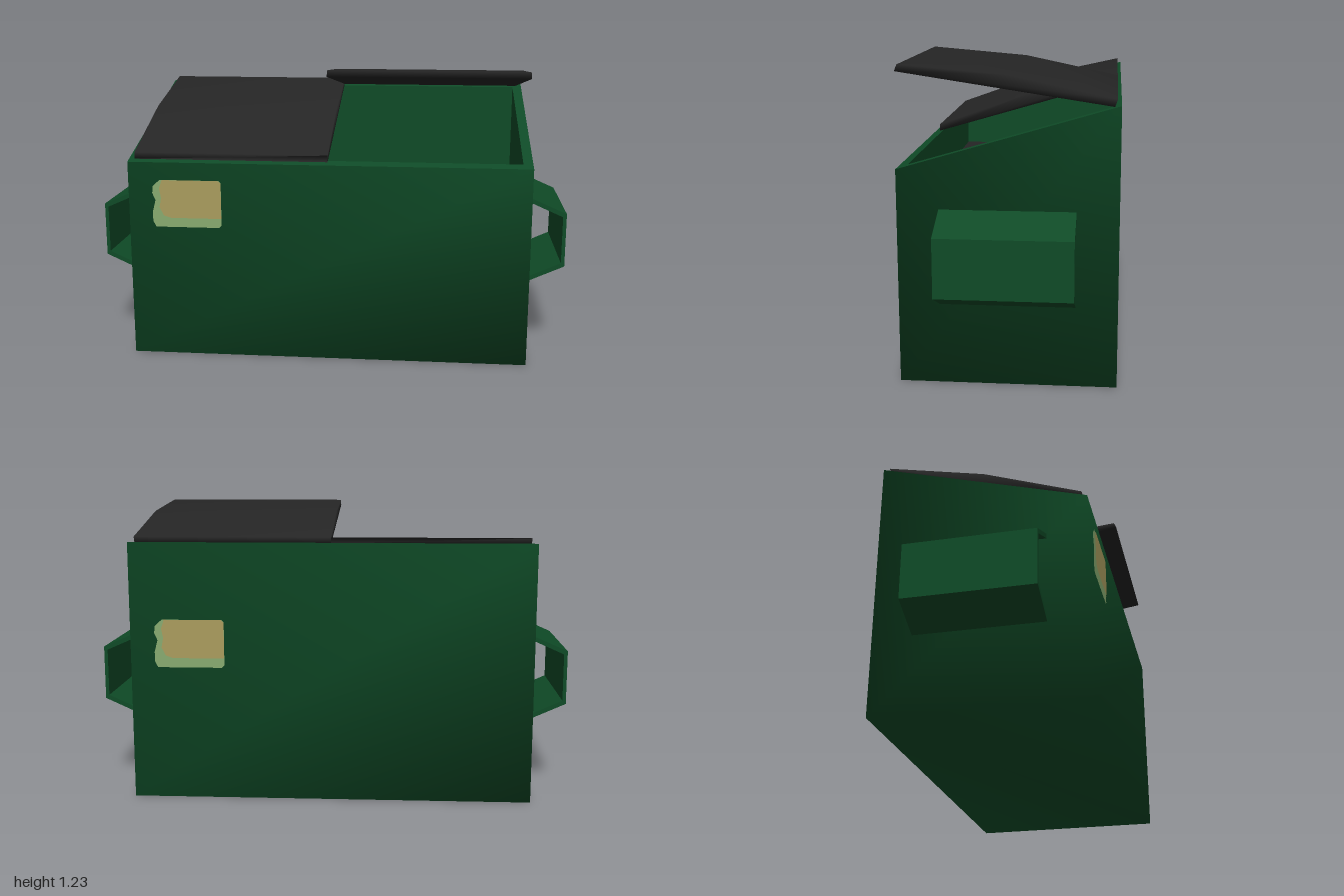
import * as THREE from 'three';
import { mergeVertices } from 'three/addons/utils/BufferGeometryUtils.js';

const mat = (name, color, side = THREE.FrontSide) => {
  const m = new THREE.MeshStandardMaterial({ color, side });
  m.name = name;
  return m;
};

const shapeOf = (pts) => new THREE.Shape(pts.map(([x, y]) => new THREE.Vector2(x, y)));

// Share corner vertices so the shading runs smoothly over the edges
function smooth(geo) {
  geo.deleteAttribute('normal');
  geo.deleteAttribute('uv');
  const merged = mergeVertices(geo, 1e-4);
  merged.computeVertexNormals();
  return merged;
}

// Build quads from rings of four corners; corners run counter-clockwise seen from above
function quads(rings, faces) {
  const geo = new THREE.BufferGeometry();
  geo.setAttribute('position', new THREE.Float32BufferAttribute(rings.flat(2), 3));
  geo.setIndex(faces.flatMap(([a, b, c, d]) => [a, b, c, a, c, d]));
  return geo;
}

const W = 0.84, D = 0.42, T = 0.04;
const rimY = (z) => 0.965 - z * 0.295;
const ring = (w, d, y) => [[-w, d], [w, d], [w, -d], [-w, -d]].map(([x, z]) => [x, y(z), z]);
const sides = [0, 1, 2, 3].map((i) => [i, (i + 1) % 4, 4 + ((i + 1) % 4), 4 + i]);

export function createModel() {
  const green = mat('container green', 0x0f4b27);
  const black = mat('lid black', 0x252525);
  const tan = mat('label tan', 0xaa9c5e);
  const pale = mat('label pale green', 0x88ab70);

  const model = new THREE.Group();
  model.name = 'wasteContainer';
  const add = (name, geo, material, parent = model) => {
    const mesh = new THREE.Mesh(geo, material);
    mesh.name = name;
    parent.add(mesh);
    return mesh;
  };

  // Outer shell with sloping top and closed bottom
  const shell = quads([ring(W, D, () => 0), ring(W, D, rimY)], [...sides, [3, 2, 1, 0]]);
  shell.computeVertexNormals();
  add('body', shell, green);

  // Flat rim and inner walls
  const flat = (geo) => {
    const g = geo.toNonIndexed();
    g.computeVertexNormals();
    return g;
  };
  const inner = ring(W - T, D - T, rimY);
  add('rim', flat(quads([ring(W, D, rimY), inner], sides)), green);
  add('innerWalls', flat(quads([inner, ring(W - T, D - T, () => 0.65)], sides)), green);

  // Dark contents filling the inside
  const fill = new THREE.PlaneGeometry(2 * (W - T), 2 * (D - T)).rotateX(-Math.PI / 2);
  add('contents', fill, black).position.y = 0.66;

  // Lids: side profiles as [z, y], extruded across the width
  const lid = (name, profile, x0) => {
    const geo = new THREE.ExtrudeGeometry(shapeOf(profile.map(([z, y]) => [-z, y])),
      { depth: 0.815, bevelEnabled: false });
    geo.rotateY(Math.PI / 2); // extrusion runs to +x, profile -z to z
    geo.translate(x0, 0, 0);
    add(name, smooth(geo), black);
  };
  lid('closedLid', [[0.395, 0.85], [-0.395, 1.082], [-0.405, 1.11], [0, 1.02], [0.395, 0.878]], -0.815);
  lid('openLid', [[0.42, 1.205], [-0.395, 1.082], [-0.405, 1.11], [0, 1.195], [0.41, 1.23]], 0);

  // Fork sleeves on both sides
  const sleeve = shapeOf([[0.835, 0.315], [1, 0.39], [1, 0.62], [0.835, 0.692],
    [0.835, 0.672], [0.985, 0.606], [0.985, 0.404], [0.835, 0.335]]);
  const sleeveGeo = new THREE.ExtrudeGeometry(sleeve, { depth: 0.52, bevelEnabled: false });
  sleeveGeo.translate(0, 0, -0.26);
  add('leftForkSleeve', sleeveGeo, green);
  add('rightForkSleeve', sleeveGeo, green).rotation.y = Math.PI;

  // Worn labels on front and back
  const paleShape = shapeOf([[-0.725, 0.565], [-0.455, 0.565], [-0.445, 0.575], [-0.445, 0.757],
    [-0.455, 0.767], [-0.705, 0.767], [-0.735, 0.74], [-0.738, 0.71], [-0.725, 0.68],
    [-0.738, 0.63], [-0.738, 0.59]]);
  const tanShape = shapeOf([[-0.69, 0.615], [-0.66, 0.605], [-0.445, 0.605], [-0.445, 0.757],
    [-0.455, 0.767], [-0.695, 0.767], [-0.708, 0.73], [-0.7, 0.69], [-0.708, 0.65]]);
  for (const [name, turn] of [['frontLabel', 0], ['backLabel', Math.PI]]) {
    const label = new THREE.Group();
    label.name = name;
    label.rotation.y = turn;
    add('labelBase', new THREE.ShapeGeometry(paleShape), pale, label).position.z = D + 0.003;
    add('labelPrint', new THREE.ShapeGeometry(tanShape), tan, label).position.z = D + 0.006;
    model.add(label);
  }
  return model;
}
